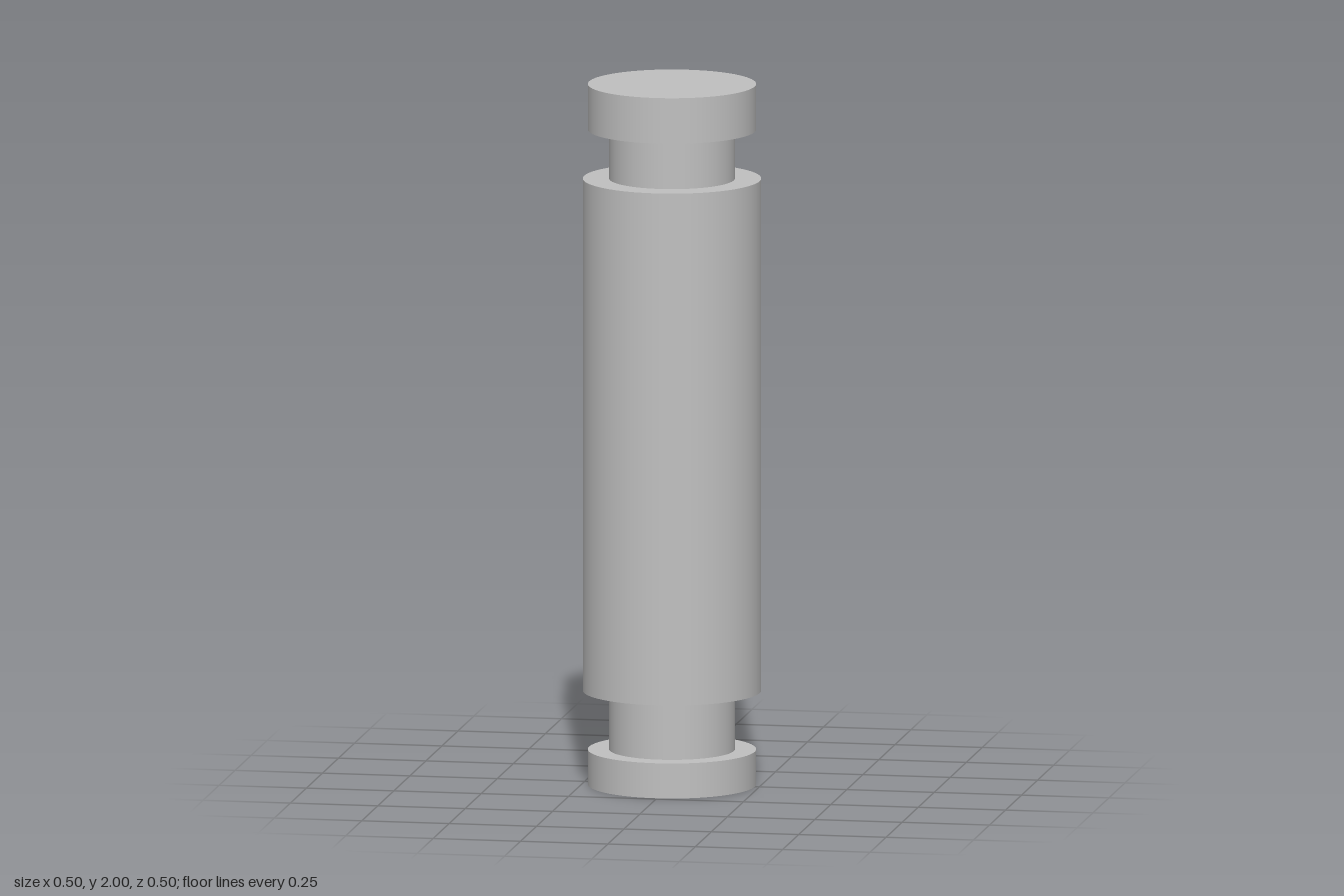
import * as THREE from 'three';

const SEGMENTS = 96;

export function createModel() {
  const model = new THREE.Group();
  model.name = 'groovedPin';

  const steel = new THREE.MeshStandardMaterial({ color: 0xc0c0c0 });
  steel.name = 'grey steel';

  // Upright round section between two heights
  const addSection = (name, radius, bottom, top, openEnded = false) => {
    const geometry = new THREE.CylinderGeometry(radius, radius, top - bottom, SEGMENTS, 1, openEnded);
    const mesh = new THREE.Mesh(geometry, steel);
    mesh.name = name;
    mesh.position.y = (bottom + top) / 2;
    model.add(mesh);
  };

  // End discs and main barrel
  addSection('bottomDisc', 0.237, 0, 0.1);
  addSection('barrel', 0.251, 0.268, 1.73);
  addSection('topDisc', 0.237, 1.87, 2);

  // Narrow necks, closed off by the sections above and below
  addSection('lowerNeck', 0.177, 0.1, 0.268, true);
  addSection('upperNeck', 0.177, 1.73, 1.87, true);

  return model;
}
